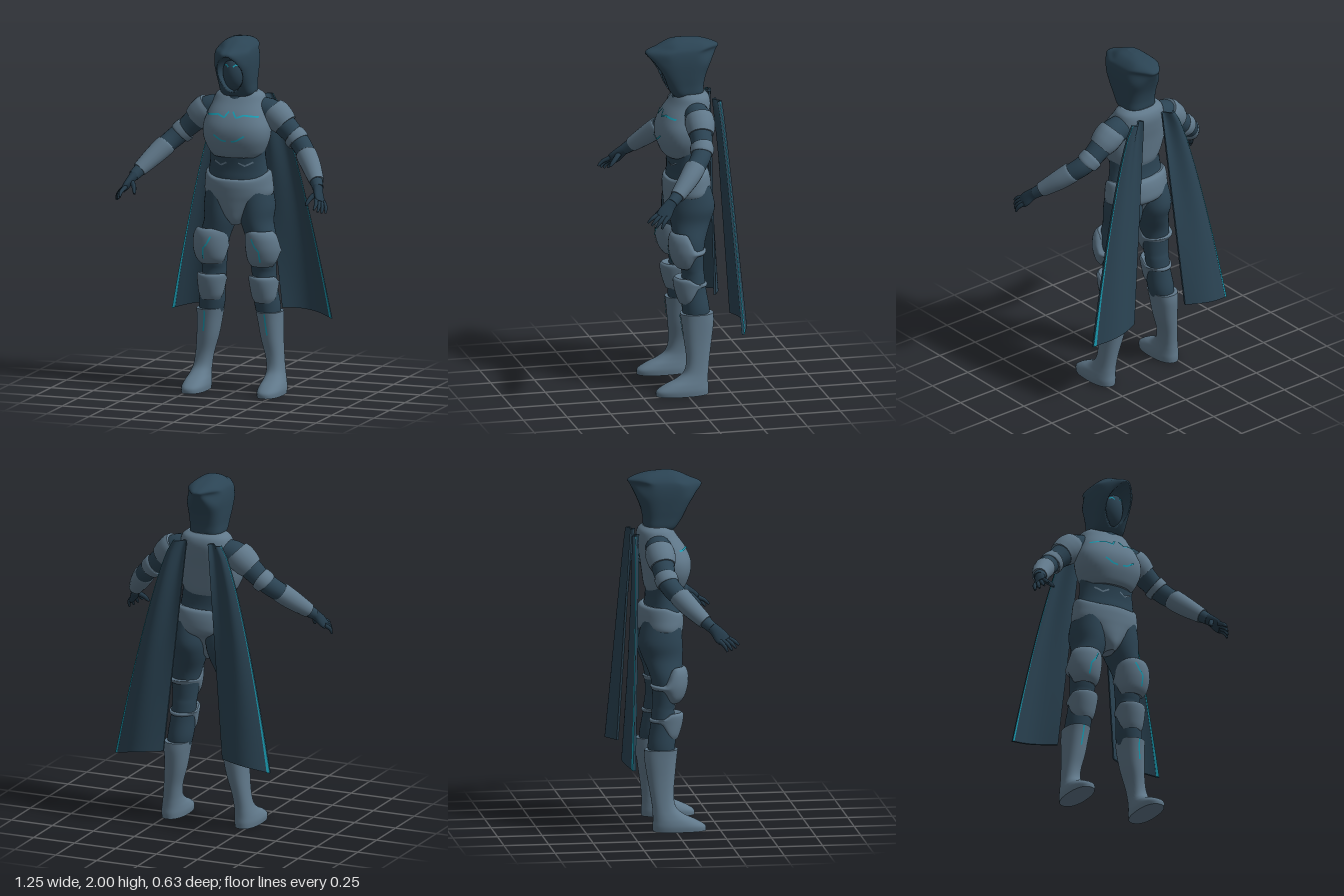
import * as THREE from 'three';

const mat = (name, color) => Object.assign(new THREE.MeshStandardMaterial({ color }), { name });
const V = (x, y, z) => new THREE.Vector3(x, y, z);
const { lerp, clamp, smoothstep } = THREE.MathUtils;

// Smooth interpolation of every column in a table of cross-sections
function resample(rows, k) {
  const out = [];
  const at = (i) => rows[Math.max(0, Math.min(rows.length - 1, i))];
  for (let i = 0; i < rows.length - 1; i++) {
    for (let s = 0; s < k; s++) {
      const t = s / k;
      out.push(at(i).map((b, c) => {
        const a = at(i - 1)[c], d = at(i + 1)[c], e = at(i + 2)[c];
        return b + 0.5 * t * (d - a + t * (2 * a - 5 * b + 4 * d - e + t * (3 * (b - d) + e - a)));
      }));
    }
  }
  out.push(rows[rows.length - 1]);
  return out;
}

function build(pos, idx) {
  const g = new THREE.BufferGeometry();
  g.setAttribute('position', new THREE.Float32BufferAttribute(pos, 3));
  g.setIndex(idx);
  g.computeVertexNormals();
  return g;
}

// Skins closed rings of points and caps both ends with sharp edges
function skin(rings) {
  const n = rings[0].length, pos = [], idx = [];
  const push = (p) => pos.push(p.x, p.y, p.z);
  rings.forEach((r) => r.forEach(push));
  for (let i = 0; i < rings.length - 1; i++) {
    for (let j = 0; j < n; j++) {
      const a = i * n + j, b = i * n + (j + 1) % n;
      idx.push(a, b, a + n, b, b + n, a + n);
    }
  }
  [rings[0], rings[rings.length - 1]].forEach((r, e) => {
    const base = pos.length / 3, c = V(0, 0, 0);
    r.forEach((p) => { push(p); c.addScaledVector(p, 1 / n); });
    push(c);
    for (let j = 0; j < n; j++) {
      const a = base + j, b = base + (j + 1) % n;
      if (e) idx.push(a, b, base + n); else idx.push(b, a, base + n);
    }
  });
  // Make the faces point outwards
  const p = (i) => V(pos[3 * i], pos[3 * i + 1], pos[3 * i + 2]);
  let volume = 0;
  for (let i = 0; i < idx.length; i += 3) volume += p(idx[i]).dot(p(idx[i + 1]).cross(p(idx[i + 2])));
  if (volume < 0) idx.reverse();
  return build(pos, idx);
}

// Horizontal sections: [y, centre x, front z, back z, half width]
function loft(rows, { n = 32, k = 5, power = 2, warp } = {}) {
  const bend = (v) => Math.sign(v) * Math.abs(v) ** (2 / power);
  return skin(resample(rows, k).map(([y, cx, zf, zb, hw]) => Array.from({ length: n }, (_, j) => {
    const a = (j / n) * Math.PI * 2;
    const q = V(cx + hw * bend(Math.cos(a)), y, (zf + zb) / 2 + (zf - zb) / 2 * bend(Math.sin(a)));
    if (warp) warp(q, (zf + zb) / 2);
    return q;
  })));
}

// Limb sections: [x, y, z, radius, second radius]
function limb(rows, n = 18, k = 4) {
  const r = resample(rows.map((q) => (q.length < 5 ? [...q, q[3]] : q)), k);
  return skin(r.map((q, i) => {
    const a = r[Math.max(0, i - 1)], b = r[Math.min(r.length - 1, i + 1)];
    const t = V(b[0] - a[0], b[1] - a[1], b[2] - a[2]).normalize();
    const u = t.clone().cross(V(0, 0, 1)).normalize(), w = u.clone().cross(t);
    return Array.from({ length: n }, (_, j) => {
      const s = (j / n) * Math.PI * 2;
      return V(q[0], q[1], q[2]).addScaledVector(u, q[3] * Math.cos(s)).addScaledVector(w, q[4] * Math.sin(s));
    });
  }));
}

export function createModel() {
  const root = new THREE.Group();
  const suit = mat('dark suit', 0x2b4353), cloth = mat('dark cloth', 0x2b4454);
  const armour = mat('slate armour', 0x60788a), glow = mat('cyan trim', 0x1a9fb6), glove = mat('glove', 0x243a49);

  const add = (name, geometry, material) => {
    const m = new THREE.Mesh(geometry, material);
    m.name = name;
    root.add(m);
    return m;
  };
  const pair = (name, geometry, material) => {
    const m = add('left ' + name, geometry, material);
    const g = geometry.clone().applyMatrix4(new THREE.Matrix4().makeScale(-1, 1, 1));
    g.setIndex(Array.from(g.index.array).reverse());
    add('right ' + name, g, material);
    return m;
  };
  // Flat ribbon laid on the front of a mesh, through [x, y] points
  const ray = new THREE.Raycaster();
  const frontLine = (name, mesh, pts, material = glow, half = 0.0045) => {
    const pos = [], idx = [];
    for (let i = 0; i < pts.length - 1; i++) {
      const [[x0, y0], [x1, y1]] = [pts[i], pts[i + 1]], len = Math.hypot(x1 - x0, y1 - y0);
      for (let s = i ? 1 : 0; s <= 6; s++) {
        for (const side of [half, -half]) {
          const x = lerp(x0, x1, s / 6) - side * (y1 - y0) / len, y = lerp(y0, y1, s / 6) + side * (x1 - x0) / len;
          ray.set(V(x, y, 2), V(0, 0, -1));
          pos.push(x, y, ray.intersectObject(mesh)[0].point.z + 0.006);
        }
      }
    }
    for (let a = 0; a < pos.length / 3 - 2; a += 2) idx.push(a + 1, a + 3, a, a, a + 3, a + 2);
    pair(name, build(pos, idx), material);
  };

  // Hood with a recessed opening, and the mask inside
  add('hood', loft([
    [1.67, 0, 0.02, -0.13, 0.082], [1.69, 0, 0.038, -0.145, 0.097], [1.74, 0, 0.072, -0.15, 0.1],
    [1.8, 0, 0.108, -0.165, 0.105], [1.87, 0, 0.146, -0.195, 0.108], [1.925, 0, 0.178, -0.222, 0.103],
    [1.955, 0, 0.12, -0.232, 0.09], [1.985, 0, 0.055, -0.15, 0.058], [2, 0, 0.01, -0.05, 0.015],
  ], { n: 96, power: 3, warp: (q, zc) => {
    // Pointed brow and back, then the opening
    q.x *= 1 - 0.45 * smoothstep(q.y, 1.84, 1.94) * smoothstep(Math.abs(q.z - zc), 0.07, 0.2);
    const s = (q.y - 1.7) / 0.215;
    if (s <= 0 || s >= 1 || q.z < zc) return;
    const w = 0.072 * Math.sin(Math.PI * s) ** 0.6;
    q.z -= 0.085 * clamp((w - Math.abs(q.x)) / 0.014, 0, 1);
  } }), cloth);
  const mask = add('mask', new THREE.SphereGeometry(1, 28, 20).scale(0.07, 0.112, 0.085).translate(0, 1.81, 0), suit);
  frontLine('eye', mask, [[0.014, 1.845], [0.028, 1.857], [0.042, 1.852]], glow, 0.0035);
  add('neck', new THREE.CylinderGeometry(0.07, 0.095, 0.12, 24).translate(0, 1.67, -0.06), suit);

  // Trunk
  const waist = add('waist', loft([
    [1.42, 0, 0.07, -0.14, 0.165], [1.33, 0, 0.055, -0.135, 0.16], [1.26, 0, 0.05, -0.14, 0.168],
    [1.2, 0, 0.055, -0.16, 0.18], [1.12, 0, 0.05, -0.17, 0.18],
  ]), suit);
  const chest = add('chest armour', loft([
    [1.33, 0, 0.068, -0.135, 0.135], [1.36, 0, 0.09, -0.145, 0.158], [1.43, 0, 0.115, -0.155, 0.187],
    [1.5, 0, 0.115, -0.165, 0.192], [1.57, 0, 0.085, -0.178, 0.172], [1.63, 0, 0.042, -0.185, 0.152],
    [1.67, 0, 0.015, -0.175, 0.138], [1.692, 0, -0.005, -0.15, 0.11],
  ], { n: 40, power: 2.3 }), armour);
  // Hip armour, its top edge dipping at the front
  add('hip armour', loft([
    [1.25, 0, 0.055, -0.155, 0.178], [1.235, 0, 0.07, -0.175, 0.19], [1.18, 0, 0.076, -0.188, 0.196],
    [1.12, 0, 0.075, -0.185, 0.196], [1.08, 0, 0.072, -0.14, 0.155], [1.03, 0, 0.068, -0.11, 0.105],
    [0.98, 0, 0.06, -0.09, 0.055], [0.945, 0, 0.04, -0.07, 0.025],
  ], { n: 40, warp: (q) => {
    q.y -= 0.045 * smoothstep(q.z, -0.06, 0.06) * clamp((q.y - 1.15) / 0.1, 0, 1);
  } }), armour);
  frontLine('upper chest line', chest, [[0.012, 1.592], [0.035, 1.56], [0.075, 1.575], [0.15, 1.565]]);
  frontLine('lower chest line', chest, [[0.015, 1.43], [0.045, 1.435], [0.09, 1.463]]);
  frontLine('waist chevron', waist, [[0.035, 1.3], [0.07, 1.283], [0.115, 1.305]], armour);

  // Legs
  pair('leg', loft([
    [1.17, 0.095, 0.045, -0.165, 0.09], [1.05, 0.102, 0.058, -0.192, 0.1], [0.96, 0.108, 0.058, -0.165, 0.09],
    [0.85, 0.14, 0.045, -0.125, 0.085], [0.72, 0.145, 0.015, -0.115, 0.073], [0.67, 0.147, 0.005, -0.12, 0.07],
    [0.58, 0.155, 0.015, -0.13, 0.07], [0.48, 0.165, 0.008, -0.145, 0.072], [0.4, 0.175, 0, -0.14, 0.058],
  ]), suit);
  // Guards narrow to a strap behind the leg
  const strap = (mid) => (q, zc) => {
    const f = smoothstep(zc + 0.03 - q.z, 0, 0.06);
    q.y = lerp(q.y, mid + (q.y - mid) * 0.15, f);
  };
  const thighGuard = pair('thigh guard', loft([
    [0.715, 0.15, 0.035, -0.115, 0.07], [0.75, 0.153, 0.062, -0.122, 0.09], [0.81, 0.155, 0.08, -0.126, 0.1],
    [0.87, 0.152, 0.083, -0.13, 0.1], [0.905, 0.148, 0.074, -0.126, 0.092], [0.92, 0.145, 0.058, -0.12, 0.08],
  ], { warp: strap(0.8) }), armour);
  pair('knee guard', loft([
    [0.51, 0.157, 0.022, -0.125, 0.06], [0.54, 0.156, 0.035, -0.133, 0.074], [0.6, 0.154, 0.052, -0.136, 0.081],
    [0.645, 0.152, 0.057, -0.132, 0.084], [0.66, 0.15, 0.045, -0.126, 0.077],
  ], { warp: strap(0.62) }), armour);
  const boot = pair('boot', loft([
    [0.455, 0.175, 0.022, -0.165, 0.073], [0.4, 0.18, 0.014, -0.166, 0.068], [0.3, 0.19, 0.003, -0.152, 0.06],
    [0.2, 0.207, -0.006, -0.136, 0.05], [0.13, 0.216, 0.008, -0.127, 0.05], [0.09, 0.22, 0.055, -0.125, 0.056],
    [0.06, 0.222, 0.12, -0.125, 0.064], [0.03, 0.223, 0.168, -0.127, 0.069], [0, 0.223, 0.172, -0.125, 0.066],
  ], { power: 2.3 }), armour);
  frontLine('thigh line', thighGuard, [[0.12, 0.88], [0.14, 0.84], [0.165, 0.81], [0.168, 0.75]]);
  frontLine('boot line', boot, [[0.178, 0.45], [0.18, 0.4], [0.188, 0.33]]);

  // Arms
  pair('arm', limb([
    [0.1, 1.59, -0.08, 0.07], [0.19, 1.57, -0.08, 0.074], [0.26, 1.51, -0.075, 0.065], [0.33, 1.445, -0.065, 0.057],
    [0.38, 1.4, -0.04, 0.055], [0.43, 1.35, 0.01, 0.051], [0.49, 1.28, 0.08, 0.042], [0.545, 1.21, 0.16, 0.031],
  ]), suit);
  pair('shoulder guard', limb([
    [0.182, 1.588, -0.083, 0.076], [0.205, 1.567, -0.082, 0.083], [0.24, 1.535, -0.079, 0.08], [0.268, 1.508, -0.075, 0.07],
  ]), armour);
  pair('elbow band', limb([
    [0.317, 1.454, -0.067, 0.061], [0.322, 1.45, -0.066, 0.066], [0.347, 1.428, -0.059, 0.065], [0.353, 1.422, -0.057, 0.06],
  ]), armour);
  pair('gauntlet', limb([
    [0.41, 1.372, -0.008, 0.054], [0.42, 1.36, 0.002, 0.059], [0.465, 1.31, 0.05, 0.055], [0.525, 1.24, 0.125, 0.042],
  ]), armour);

  // Hands
  pair('palm', limb([
    [0.535, 1.225, 0.142, 0.03, 0.03], [0.552, 1.195, 0.178, 0.024, 0.034], [0.572, 1.16, 0.208, 0.019, 0.042],
    [0.584, 1.14, 0.225, 0.014, 0.037],
  ]), glove);
  for (let i = 0; i < 4; i++) {
    const t = i / 3, reach = i === 1 || i === 2 ? 1.06 : 0.97;
    const a = V(0.562, 1.16, 0.238).lerp(V(0.592, 1.142, 0.198), t);
    const b = V(0.573, 1.112, 0.308).lerp(V(0.618, 1.083, 0.238), t).sub(a).multiplyScalar(reach).add(a);
    const m = a.clone().lerp(b, 0.55).add(V(0.008, 0.004, 0.004));
    pair('finger ' + (i + 1), limb([[...a, 0.013], [...m, 0.011], [...b, 0.006]], 8, 3), glove);
  }
  pair('thumb', limb([
    [0.553, 1.19, 0.185, 0.016], [0.525, 1.165, 0.215, 0.014], [0.512, 1.14, 0.24, 0.011], [0.507, 1.125, 0.252, 0.006],
  ], 8, 3), glove);

  // Split cape: a thin panel on each side, with a bright hem widening down the outer edge
  const capePanel = (width, end, thick) => {
    const g = new THREE.BoxGeometry(1, 1, 1, 16, 20, 1), p = g.attributes.position;
    for (let i = 0; i < p.count; i++) {
      const v = 0.5 - p.getY(i), u = end - width(v) * (0.5 - p.getX(i));
      const x = lerp(lerp(0.065, 0.18, v), 0.145 + 0.327 * v ** 0.74, u);
      const y = lerp(1.655, 0.44 - 0.045 * u * u, v);
      const z = lerp(-0.205, -0.264, v) - 0.045 * v * Math.sin(Math.PI * u) + 0.018 * (1 - v) * Math.sin(2 * Math.PI * u);
      p.setXYZ(i, x, y, z + p.getZ(i) * thick);
    }
    g.computeVertexNormals();
    return g;
  };
  pair('cape', capePanel(() => 1, 1, 0.012), cloth);
  pair('cape hem', capePanel((v) => 0.018 + 0.035 * v ** 3, 0.998, 0.015), glow);

  return root;
}
